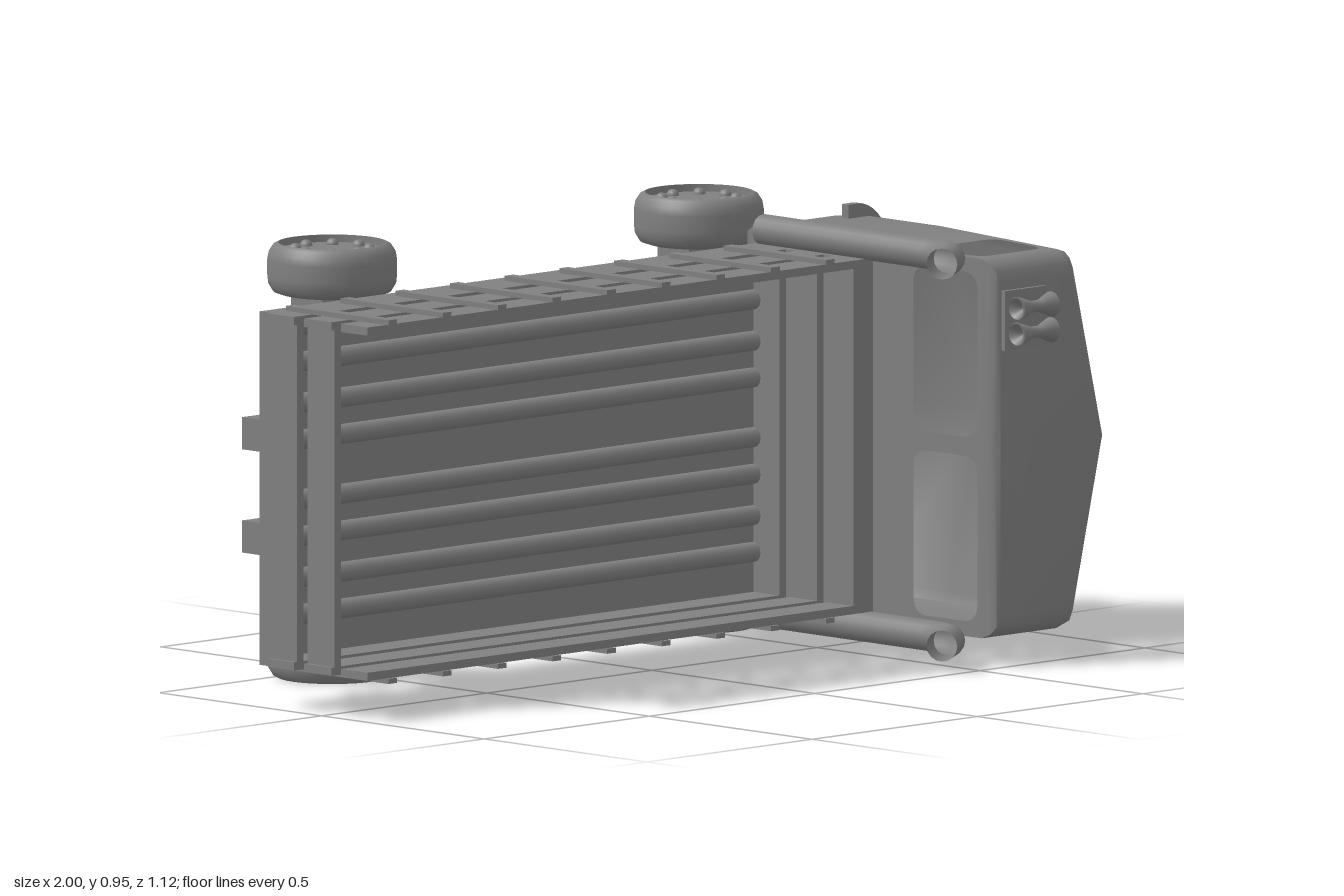
import * as THREE from 'three';
import { mergeGeometries, mergeVertices, toCreasedNormals } from 'three/addons/utils/BufferGeometryUtils.js';

const MID = 0.473; // centre line in y (the truck lies on its side, roof towards +z)

export function createModel() {
  const root = new THREE.Group();
  const grey = new THREE.MeshStandardMaterial({ color: 0x808080, side: THREE.DoubleSide });
  grey.name = 'grey';

  const add = (name, geo, parent = root) => {
    const m = new THREE.Mesh(geo, grey);
    m.name = name;
    parent.add(m);
    return m;
  };
  const group = (name) => {
    const g = new THREE.Group();
    g.name = name;
    root.add(g);
    return g;
  };
  // Box from its min and max on each axis
  const box = (name, x0, x1, y0, y1, z0, z1, parent) => {
    const m = add(name, new THREE.BoxGeometry(x1 - x0, y1 - y0, z1 - z0), parent);
    m.position.set((x0 + x1) / 2, (y0 + y1) / 2, (z0 + z1) / 2);
    return m;
  };
  const shapeOf = (pts) => new THREE.Shape(pts.map(([x, y]) => new THREE.Vector2(x, y)));

  // ---- Cab: loft of half rings (x, half width) from floor to roof ----
  const ring = (z, back, side, front, centre) => ({
    z,
    r: [[back, 0], [back, side], [front - 0.035, side], [front - 0.01, side - 0.008],
      [front, side - 0.03], [centre, 0]],
  });
  const levels = [
    ring(-0.27, 0.555, 0.402, 0.825, 0.915),
    ring(-0.255, 0.555, 0.412, 0.84, 0.928),
    ring(-0.19, 0.555, 0.415, 0.875, 0.97),
    ring(0.03, 0.555, 0.415, 0.875, 0.97),
    ring(0.45, 0.555, 0.413, 0.815, 0.905),
    ring(0.475, 0.556, 0.403, 0.806, 0.895),
    ring(0.49, 0.56, 0.387, 0.79, 0.88),
    ring(0.496, 0.567, 0.365, 0.768, 0.86),
  ];
  const roundedHole = (u0, u1, v0, v1, ru, rv) => {
    const p = new THREE.Path();
    p.moveTo(u0 + ru, v0);
    p.lineTo(u1 - ru, v0);
    p.quadraticCurveTo(u1, v0, u1, v0 + rv);
    p.lineTo(u1, v1 - rv);
    p.quadraticCurveTo(u1, v1, u1 - ru, v1);
    p.lineTo(u0 + ru, v1);
    p.quadraticCurveTo(u0, v1, u0, v1 - rv);
    p.lineTo(u0, v0 + rv);
    p.quadraticCurveTo(u0, v0, u0 + ru, v0);
    return p;
  };
  // A unit square, with an optional window, stretched between four corners
  const panel = (lo, hi, i, s, hole) => {
    const sq = shapeOf([[0, 0], [1, 0], [1, 1], [0, 1]]);
    if (hole) sq.holes.push(roundedHole(...hole));
    const g = new THREE.ShapeGeometry(sq, 6);
    const corner = (l, k) => new THREE.Vector3(l.r[k][0], MID + s * l.r[k][1], l.z);
    const [a, b, c, d] = [corner(lo, i), corner(lo, i + 1), corner(hi, i), corner(hi, i + 1)];
    const pos = g.attributes.position;
    for (let k = 0; k < pos.count; k++) {
      const u = pos.getX(k), v = pos.getY(k);
      const p = a.clone().lerp(b, u).lerp(c.clone().lerp(d, u), v);
      pos.setXYZ(k, p.x, p.y, p.z);
    }
    if (s > 0) g.setIndex(Array.from(g.index.array).reverse());
    return g;
  };
  // Rear, side and windscreen openings
  const windows = {
    0: [0.05, 0.92, 0.5, 0.97, 0.1, 0.1],
    1: [0.1, 0.93, 0.52, 0.94, 0.13, 0.1],
    4: [0.09, 0.9, 0.57, 0.955, 0.12, 0.11],
  };
  const cap = ({ z, r }) => {
    const half = r.slice(1);
    const pts = half.map(([x, y]) => [x, MID - y]);
    half.slice(0, -1).reverse().forEach(([x, y]) => pts.push([x, MID + y]));
    return new THREE.ShapeGeometry(shapeOf(pts)).translate(0, 0, z);
  };
  const floor = cap(levels[0]);
  floor.setIndex(Array.from(floor.index.array).reverse());
  const skins = [floor, cap(levels[levels.length - 1])];
  for (const s of [-1, 1])
    for (let l = 0; l < levels.length - 1; l++)
      for (let i = 0; i < 5; i++)
        skins.push(panel(levels[l], levels[l + 1], i, s, l === 3 ? windows[i] : null));
  const cabGeo = mergeGeometries(skins);
  cabGeo.deleteAttribute('normal');
  cabGeo.deleteAttribute('uv');
  add('cab', toCreasedNormals(mergeVertices(cabGeo, 1e-4), 0.75));

  // ---- Curved front trim: brim and lower bumper ----
  const crescent = (name, outer, inner, z0, z1) => {
    const curve = (pts) => new THREE.CatmullRomCurve3([
      ...pts.map(([x, y]) => new THREE.Vector3(x, MID + y, 0)),
      ...pts.slice(0, -1).reverse().map(([x, y]) => new THREE.Vector3(x, MID - y, 0)),
    ]).getPoints(32).map((p) => [p.x, p.y]);
    const g = new THREE.ExtrudeGeometry(shapeOf([...curve(outer), ...curve(inner).reverse()]),
      { depth: z1 - z0, bevelEnabled: false });
    add(name, toCreasedNormals(g, 0.5)).position.z = z0;
  };
  crescent('frontBrim', [[0.778, 0.445], [0.825, 0.443], [0.87, 0.415], [0.928, 0.317], [0.972, 0.157], [1, 0]],
    [[0.778, 0.415], [0.82, 0.405], [0.85, 0.36], [0.88, 0.2], [0.92, 0]], -0.205, -0.185);
  crescent('lowerBumper', [[0.78, 0.387], [0.8, 0.365], [0.85, 0.19], [0.895, 0]],
    [[0.775, 0.36], [0.785, 0.34], [0.82, 0.19], [0.865, 0]], -0.385, -0.265);

  // ---- Roof horns ----
  const horns = group('roofHorns');
  box('hornPlate', 0.57, 0.695, 0.69, 0.82, 0.485, 0.506, horns);
  const hornProfile = [[0, -0.02], [0.022, -0.055], [0.028, -0.052], [0.013, -0.015], [0.013, 0.01],
    [0.026, 0.05], [0.022, 0.055], [0, 0.025]].map(([r, y]) => new THREE.Vector2(r, y));
  for (const y of [0.727, 0.783]) {
    const h = add('horn', new THREE.LatheGeometry(hornProfile, 20), horns);
    h.rotation.z = Math.PI / 2;
    h.position.set(0.635, y, 0.53);
  }

  // ---- Exhaust stacks ----
  const stackPath = new THREE.CurvePath();
  const V = (x, z) => new THREE.Vector3(x, 0, z);
  stackPath.add(new THREE.LineCurve3(V(0.525, -0.19), V(0.52, 0.34)));
  stackPath.add(new THREE.QuadraticBezierCurve3(V(0.52, 0.34), V(0.517, 0.4), V(0.485, 0.42)));
  stackPath.add(new THREE.LineCurve3(V(0.485, 0.42), V(0.425, 0.46)));
  for (const s of [-1, 1]) {
    const g = group('exhaustStack');
    g.position.y = MID + s * 0.416;
    add('stackPipe', new THREE.TubeGeometry(stackPath, 40, 0.034, 16), g);
    add('stackBase', new THREE.CircleGeometry(0.034, 16), g).position.set(0.525, 0, -0.19);
  }

  // ---- Cargo bed ----
  const bed = group('cargoBed');
  box('bedFloor', -0.99, 0.555, 0.09, 0.86, -0.2, -0.165, bed);
  const ribGeo = new THREE.CylinderGeometry(0.022, 0.022, 1.46, 12).rotateZ(Math.PI / 2);
  for (const y of [0.825, 0.745, 0.655, 0.575, 0.445, 0.365, 0.275, 0.195])
    add('floorRib', ribGeo, bed).position.set(-0.25, y, -0.165);
  [[-0.165, -0.085], [-0.053, 0.03], [0.06, 0.142]].forEach(([z0, z1], row) => {
    for (const y of [0.09, 0.842]) box('sidePlank', -1, 0.49, y, y + 0.018, z0, z1, bed);
    box('headPlank', 0.47, 0.49, 0.108, 0.842, z0, z1, bed);
    if (row < 2) box('tailPlank', -0.99, -0.97, 0.108, 0.842, z0, z1, bed);
  });
  box('headboard', 0.49, 0.53, 0.09, 0.86, -0.165, 0.142, bed);
  for (let i = 0; i < 9; i++) {
    const x = -0.932 + i * 0.1655;
    for (const y of [0.079, 0.86])
      box('sideStake', x - 0.013, x + 0.013, y, y + 0.011, -0.165, 0.15, bed);
  }

  // ---- Underside: cross ribs, side flanges, rails and spine ----
  const frame = group('frame');
  for (const x of [-0.8, -0.58, -0.39, -0.18, 0.03, 0.235, 0.44])
    box('crossRib', x - 0.032, x + 0.032, 0.11, 0.84, -0.25, -0.2, frame);
  for (const y of [0.105, 0.805]) box('sideFlange', -0.45, 0.5, y, y + 0.04, -0.272, -0.25, frame);
  for (const y of [0.36, 0.585]) box('frameRail', -0.97, 0.56, y - 0.035, y + 0.035, -0.275, -0.2, frame);
  box('frameSpine', -0.49, 0.48, 0.31, 0.64, -0.357, -0.2, frame);

  // ---- Axles and wheels ----
  const axleShape = shapeOf([[0.463, -0.37], [0.463, -0.32], [0.322, 0], [0.463, 0.32], [0.463, 0.37],
    [0.37, 0.37], [0.35, 0.3], [0.22, 0], [0.35, -0.3], [0.37, -0.37]]);
  const axleGeo = new THREE.ExtrudeGeometry(axleShape, { depth: 0.16, bevelEnabled: false });
  axleGeo.rotateY(Math.PI / 2);
  const tyreProfile = [[0, 0], [0.11, 0], [0.128, 0.006], [0.138, 0.022], [0.14, 0.04], [0.14, 0.075],
    [0.137, 0.092], [0.128, 0.106], [0.118, 0.111], [0.116, 0.111]].map(([r, y]) => new THREE.Vector2(r, y));
  const tyreGeo = new THREE.LatheGeometry(tyreProfile, 40);
  const rimGeo = new THREE.CylinderGeometry(0.116, 0.116, 0.016, 40, 1, true);
  const discGeo = new THREE.CircleGeometry(0.116, 40).rotateX(-Math.PI / 2);
  const boltGeo = new THREE.SphereGeometry(0.014, 12, 6, 0, Math.PI * 2, 0, Math.PI / 2);
  for (const x of [-0.557, 0.553]) {
    add(x > 0 ? 'frontAxle' : 'rearAxle', axleGeo).position.set(x - 0.08, MID, 0);
    for (const s of [-1, 1]) {
      const w = group(x > 0 ? 'frontWheel' : 'rearWheel');
      w.position.set(x, MID + s * 0.362, -0.417);
      if (s < 0) w.rotation.x = Math.PI;
      add('tyre', tyreGeo, w);
      add('rimWall', rimGeo, w).position.y = 0.103;
      add('hubDisc', discGeo, w).position.y = 0.095;
      for (let i = 0; i < 8; i++) {
        const a = (i / 8) * Math.PI * 2;
        add('wheelBolt', boltGeo, w).position.set(0.08 * Math.cos(a), 0.095, 0.08 * Math.sin(a));
      }
    }
  }
  return root;
}
